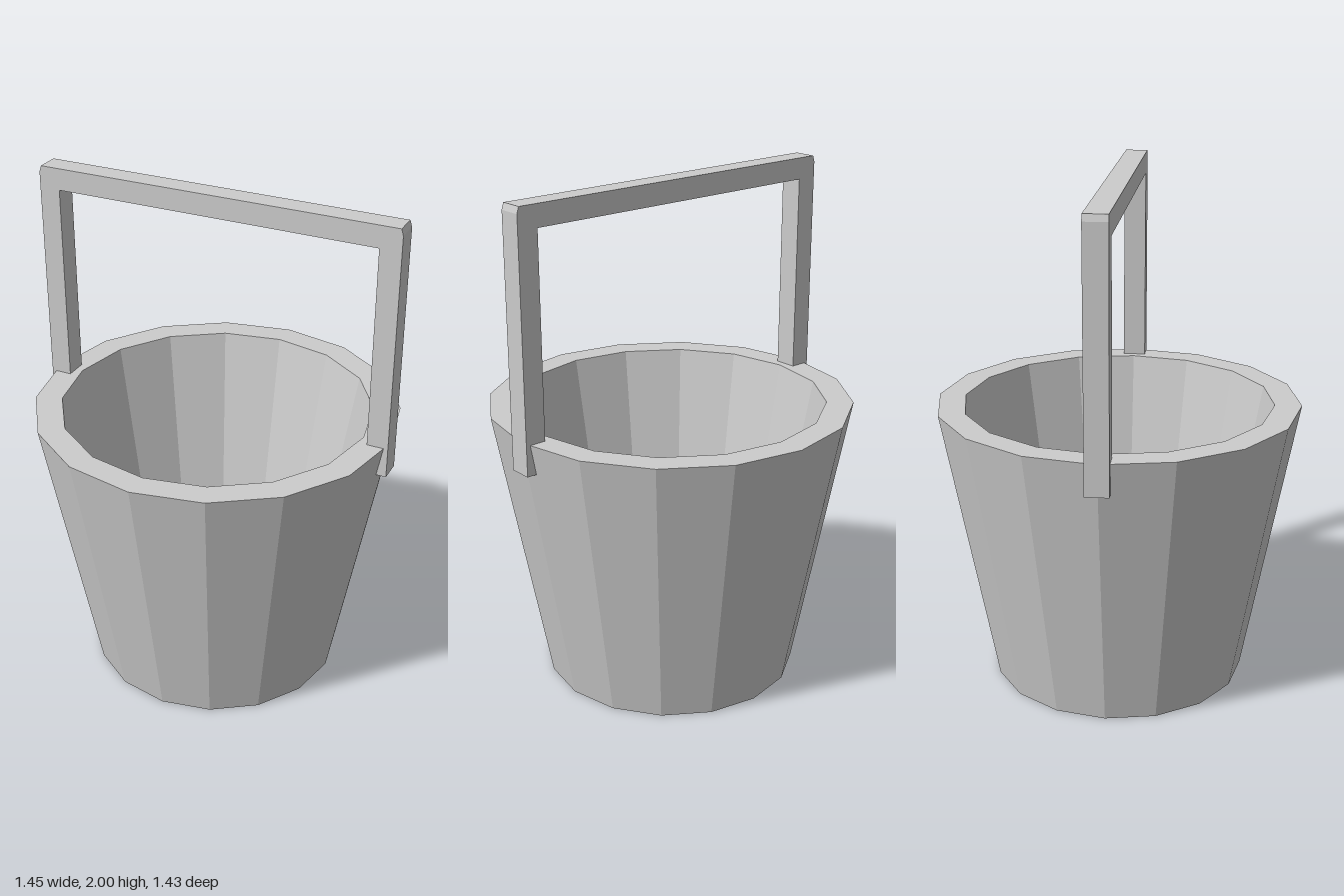
import * as THREE from 'three';

export function createModel() {
  const model = new THREE.Group();
  model.name = 'bucket';
  const grey = new THREE.MeshStandardMaterial({ color: 0xcccccc });
  grey.name = 'grey';
  grey.flatShading = true;

  // Sixteen-sided tapered tub: underside, outer wall, rim, inner wall, floor
  const profile = [
    [0, 0], [0.505, 0], [0.715, 1.13], [0.61, 1.13], [0.432, 0.17], [0, 0.17],
  ].map(([r, y]) => new THREE.Vector2(r, y));
  const tub = new THREE.Mesh(new THREE.LatheGeometry(profile, 16), grey);
  tub.name = 'tub';
  model.add(tub);

  // Square arch handle with slightly clipped top corners
  const half = [[0.64, 1.915], [0.64, 1.01], [0.723, 1.01], [0.723, 1.975], [0.715, 2]];
  const mirrored = half.map(([x, y]) => [-x, y]).reverse();
  const outline = [...half, ...mirrored].map(([x, y]) => new THREE.Vector2(x, y));
  const depth = 0.09;
  const arch = new THREE.ExtrudeGeometry(new THREE.Shape(outline), { depth, bevelEnabled: false });
  arch.translate(0, 0, -depth / 2);
  const handle = new THREE.Mesh(arch, grey);
  handle.name = 'handle';
  model.add(handle);

  return model;
}
